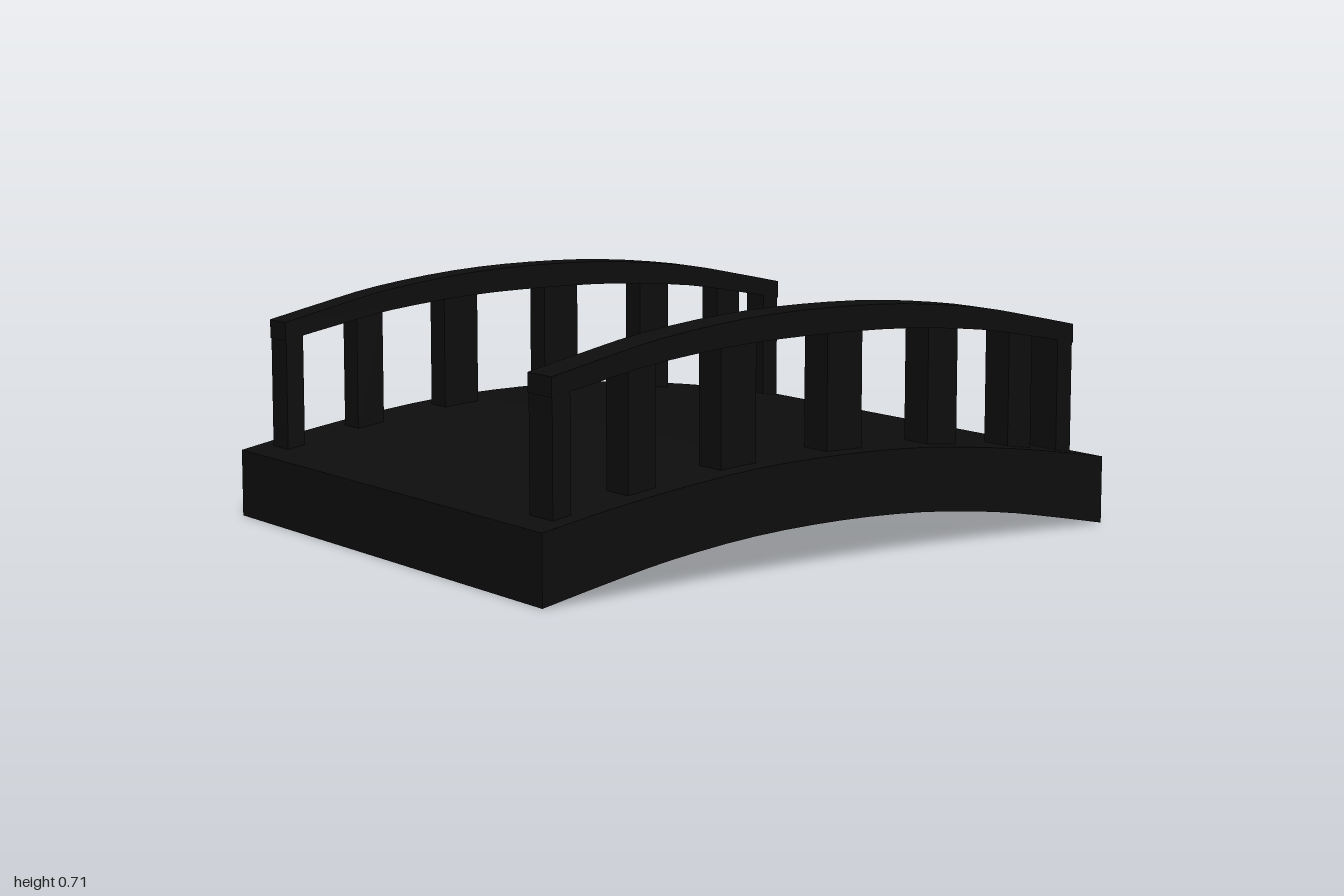
import * as THREE from 'three';

const material = new THREE.MeshStandardMaterial({ color: 0x0d0d0d });

// Half profiles as [z, y], mirrored to span the whole bridge
const DECK_TOP = [[0, 0.305], [0.3, 0.296], [0.58, 0.267], [0.8, 0.235], [1, 0.2]];
const DECK_BOTTOM = [[0, 0.12], [0.3, 0.11], [0.58, 0.079], [0.8, 0.04], [1, 0]];
const RAIL_TOP = [[0, 0.71], [0.28, 0.701], [0.56, 0.67], [0.76, 0.631], [0.928, 0.595]];
const RAIL_BOTTOM = [[0, 0.637], [0.28, 0.631], [0.56, 0.606], [0.76, 0.572], [0.928, 0.54]];

function archCurve(half) {
  const mirrored = half.slice(1).reverse().map(([z, y]) => [-z, y]);
  return new THREE.SplineCurve([...mirrored, ...half].map(([z, y]) => new THREE.Vector2(z, y)));
}

// Closed arch between two profiles, extruded across x
function archMesh(name, top, bottom, x0, x1) {
  const outline = [...archCurve(bottom).getPoints(24), ...archCurve(top).getPoints(24).reverse()];
  const geometry = new THREE.ExtrudeGeometry(new THREE.Shape(outline), {
    depth: x1 - x0, bevelEnabled: false,
  });
  geometry.rotateY(-Math.PI / 2).translate(x1, 0, 0);
  const mesh = new THREE.Mesh(geometry, material);
  mesh.name = name;
  return mesh;
}

// Height of a half profile at a given z
function heightAt(half, z) {
  const a = Math.abs(z);
  const i = Math.max(1, half.findIndex(([pz]) => pz >= a));
  const [z0, y0] = half[i - 1];
  const [z1, y1] = half[i];
  return y0 + ((y1 - y0) * (a - z0)) / (z1 - z0);
}

// Post extents along z
const POSTS = [
  [0.868, 0.925], [0.59, 0.68], [0.25, 0.37], [-0.125, 0],
  [-0.48, -0.37], [-0.77, -0.68], [-0.925, -0.868],
];

function railing(name, x0, x1) {
  const group = new THREE.Group();
  group.name = name;
  group.add(archMesh('handrail', RAIL_TOP, RAIL_BOTTOM, x0, x1));
  POSTS.forEach(([z0, z1], i) => {
    const z = (z0 + z1) / 2;
    const inset = i === 0 || i === POSTS.length - 1 ? 0.001 : 0.006;
    const bottom = heightAt(DECK_TOP, z) - 0.03;
    const top = heightAt(RAIL_BOTTOM, z) + 0.025;
    const post = new THREE.Mesh(
      new THREE.BoxGeometry(x1 - x0 - 2 * inset, top - bottom, z1 - z0), material);
    post.position.set((x0 + x1) / 2, (top + bottom) / 2, z);
    post.name = 'post';
    group.add(post);
  });
  return group;
}

export function createModel() {
  const bridge = new THREE.Group();
  bridge.name = 'footbridge';
  bridge.add(archMesh('deck', DECK_TOP, DECK_BOTTOM, -0.806, 0.806));
  bridge.add(railing('leftRailing', 0.635, 0.747));
  bridge.add(railing('rightRailing', -0.747, -0.656));
  return bridge;
}
